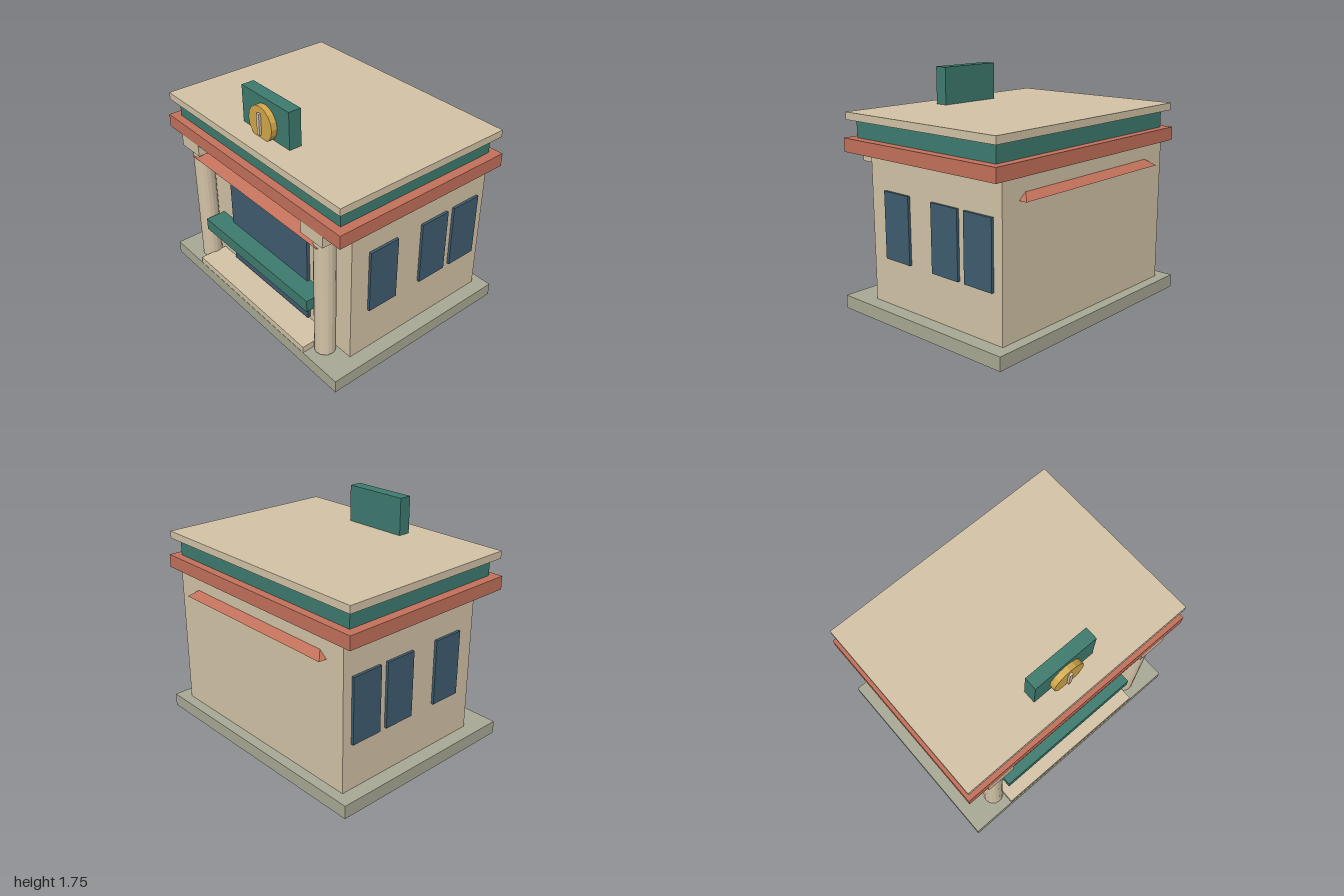
import * as THREE from 'three';

const mat = (name, color, flatShading = false) => {
  const m = new THREE.MeshStandardMaterial({ color });
  m.name = name;
  m.flatShading = flatShading;
  return m;
};

export function createModel() {
  const cream = mat('cream stone', 0xd2c2a6, true);
  const teal = mat('teal trim', 0x3d7a6e, true);
  const red = mat('terracotta', 0xc2705a, true);
  const blue = mat('dark blue glass', 0x3e5c6e, true);
  const grey = mat('grey plinth', 0xa8a894, true);
  const gold = mat('gold', 0xd2a74b, true);

  const model = new THREE.Group();
  model.name = 'bank';

  const add = (name, geometry, material) => {
    const mesh = new THREE.Mesh(geometry, material);
    mesh.name = name;
    model.add(mesh);
    return mesh;
  };
  // Box given by its limits on each axis
  const box = (name, material, x0, x1, y0, y1, z0, z1) => {
    const g = new THREE.BoxGeometry(x1 - x0, y1 - y0, z1 - z0);
    g.translate((x0 + x1) / 2, (y0 + y1) / 2, (z0 + z1) / 2);
    return add(name, g, material);
  };
  // Disc whose flat face looks forward
  const disc = (name, r, sides, x, y, z0, z1) => {
    const g = new THREE.CylinderGeometry(r, r, z1 - z0, sides);
    g.rotateX(Math.PI / 2);
    g.translate(x, y, (z0 + z1) / 2);
    return add(name, g, gold);
  };

  // Plinth, step and main body
  box('plinth', grey, -1, 1, 0, 0.1, -0.78, 0.78);
  box('step', cream, -0.65, 0.65, 0.1, 0.15, 0.5, 0.778);
  box('body', cream, -0.89, 0.89, 0.1, 1.19, -0.7, 0.555);

  // Stacked bands of the roof
  box('cornice', red, -0.985, 0.985, 1.19, 1.29, -0.738, 0.738);
  box('frieze', teal, -0.915, 0.915, 1.29, 1.42, -0.675, 0.675);
  box('roofSlab', cream, -0.97, 0.97, 1.42, 1.475, -0.725, 0.725);

  // Columns with capitals, and three windows on each side
  for (const s of [-1, 1]) {
    const column = new THREE.CylinderGeometry(0.077, 0.077, 0.99, 16);
    column.translate(s * 0.715, 0.605, 0.633);
    add('column', column, cream);
    const cx = s * 0.71;
    box('capital', cream, cx - 0.11, cx + 0.11, 1.1, 1.19, 0.5, 0.738);
    for (const z of [0.28, -0.195, -0.502]) {
      const x = s * 0.895;
      box('window', blue, x - 0.015, x + 0.015, 0.45, 0.945, z - 0.124, z + 0.124);
    }
  }

  // Entrance glass and the counter bar across it
  box('door', blue, -0.457, 0.457, 0.17, 1.06, 0.54, 0.58);
  box('counterBar', teal, -0.62, 0.62, 0.42, 0.515, 0.555, 0.715);

  // Hipped awning that runs through the body and shows at front and back
  const awning = new THREE.BoxGeometry(1.47, 0.12, 1.477);
  const p = awning.attributes.position;
  for (let i = 0; i < p.count; i++) {
    if (p.getY(i) > 0) {
      p.setX(i, Math.sign(p.getX(i)) * 0.58);
      p.setZ(i, Math.sign(p.getZ(i)) * 0.582);
    }
  }
  awning.translate(0, 1.092, -0.023);
  awning.computeVertexNormals();
  add('awning', awning, red);

  // Gold discs tucked under the cornice
  for (const x of [-0.29, 0, 0.29]) disc('wallDisc', 0.12, 20, x, 1.27, 0.55, 0.585);

  // Rooftop sign with a slotted coin
  box('signBoard', teal, -0.26, 0.26, 1.475, 1.755, 0.452, 0.55);
  disc('signCoin', 0.13, 16, 0, 1.58, 0.55, 0.595);
  box('coinSlot', cream, -0.014, 0.014, 1.5, 1.66, 0.59, 0.612);

  return model;
}
